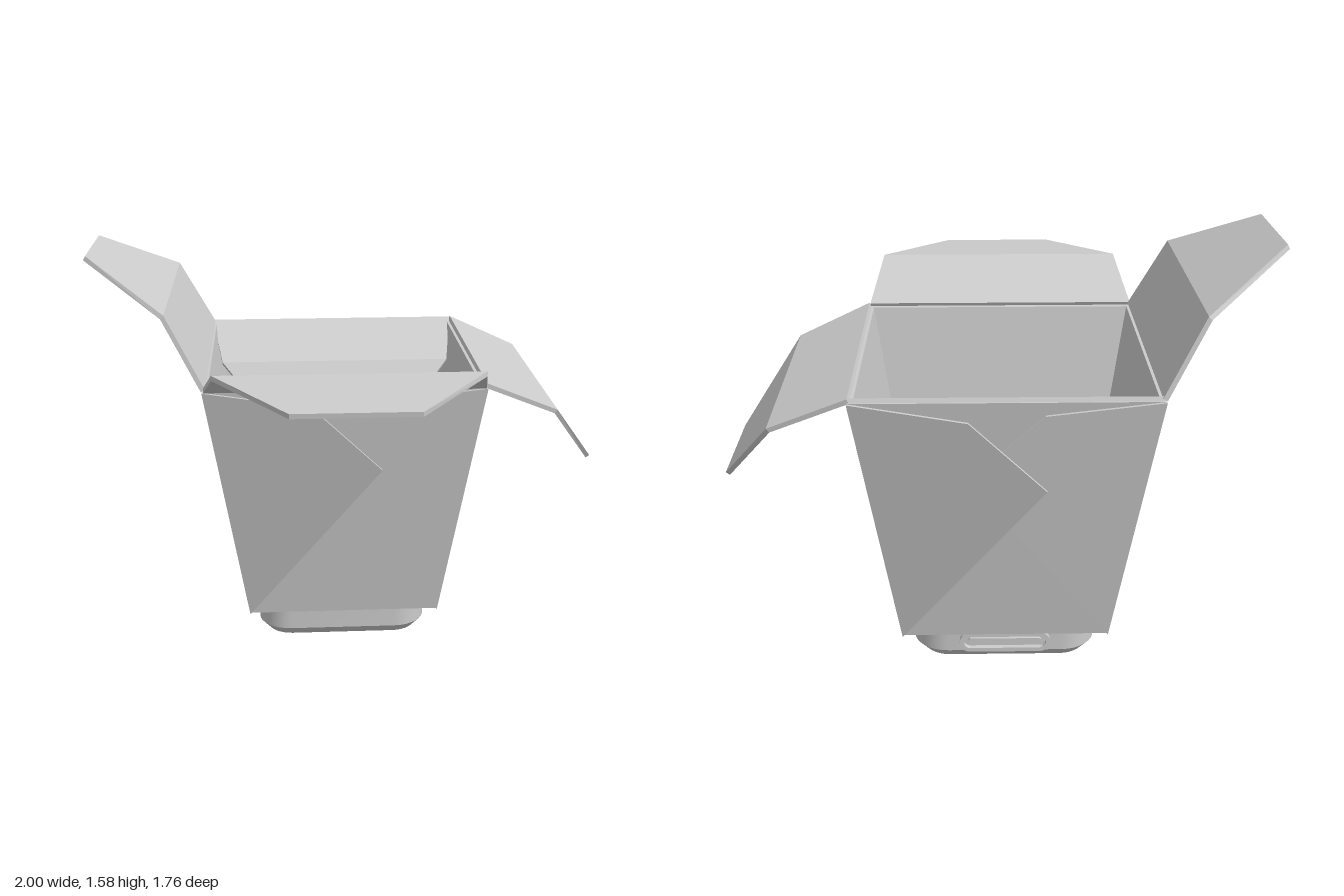
import * as THREE from 'three';
import { toCreasedNormals } from 'three/addons/utils/BufferGeometryUtils.js';

const material = new THREE.MeshStandardMaterial({ color: 0xcccccc });

function addMesh(parent, name, geometry) {
  const mesh = new THREE.Mesh(geometry, material);
  mesh.name = name;
  parent.add(mesh);
  return mesh;
}

// Skin a list of equal-length loops and cap both ends (loops run counter-clockwise seen from the end)
function loft(sections, crease = 0.1) {
  const out = [];
  const tri = (a, b, c) => out.push(...a, ...b, ...c);
  const n = sections[0].length;
  for (let s = 0; s < sections.length - 1; s++) {
    const a = sections[s], b = sections[s + 1];
    for (let i = 0; i < n; i++) {
      const j = (i + 1) % n;
      tri(a[i], a[j], b[j]);
      tri(a[i], b[j], b[i]);
    }
  }
  const first = sections[0], last = sections[sections.length - 1];
  for (let i = 1; i < n - 1; i++) {
    tri(first[0], first[i + 1], first[i]);
    tri(last[0], last[i], last[i + 1]);
  }
  const geometry = new THREE.BufferGeometry();
  geometry.setAttribute('position', new THREE.Float32BufferAttribute(out, 3));
  return toCreasedNormals(geometry, crease);
}

const rectRing = (y, w, d) => [[-w, y, d], [w, y, d], [w, y, -d], [-w, y, -d]];

function roundedRing(y, half, radius) {
  const ring = [];
  for (let corner = 0; corner < 4; corner++) {
    const mid = (corner + 0.5) * Math.PI / 2;
    for (let i = 0; i <= 8; i++) {
      const angle = (corner + i / 8) * Math.PI / 2;
      ring.push([
        Math.sign(Math.cos(mid)) * (half - radius) + Math.cos(angle) * radius,
        y,
        -Math.sign(Math.sin(mid)) * (half - radius) - Math.sin(angle) * radius,
      ]);
    }
  }
  return ring;
}

// Creased lid flap: profile points are [distance outwards, height, half width]
function flapGeometry(profile) {
  const t = 0.009;
  return loft(profile.map(([u, y, w], i) => {
    const a = profile[Math.max(i - 1, 0)], b = profile[Math.min(i + 1, profile.length - 1)];
    const du = b[0] - a[0], dy = b[1] - a[1], len = Math.hypot(du, dy);
    const nu = -dy / len * t, ny = du / len * t;
    return [
      [-w, y - ny, u - nu], [w, y - ny, u - nu],
      [w, y + ny, u + nu], [-w, y + ny, u + nu],
    ];
  }));
}

// Folded pleat hinged on a wall corner, leaning off the wall by the given slope
function pleatGeometry(side, slope) {
  const outline = [[0.535, 1.125], [0.38, 0.145], [-0.135, 0.83], [0.13, 1.08]];
  const loop = outline.map(([x, y]) => {
    const rise = y - 0.145;
    const hinge = 0.38 + 0.158 * rise;
    return [side * x, y, 0.4 + 0.1378 * rise + slope * (hinge - x)];
  });
  if (side > 0) loop.reverse();
  return loft([loop, loop.map(([x, y, z]) => [x, y, z + 0.012])]);
}

function capsule(PathType, halfLength, radius) {
  const path = new PathType();
  path.absarc(halfLength, 0, radius, -Math.PI / 2, Math.PI / 2, false);
  path.absarc(-halfLength, 0, radius, Math.PI / 2, Math.PI * 1.5, false);
  path.closePath();
  return path;
}

export function createModel() {
  const model = new THREE.Group();
  model.name = 'foldingCarton';
  const carton = new THREE.Group();
  carton.name = 'carton';
  carton.position.set(-0.02, 0, -0.27);
  model.add(carton);

  // Tapered, open container with wall thickness
  addMesh(carton, 'container', loft([
    rectRing(0.145, 0.38, 0.4),
    rectRing(1.125, 0.535, 0.535),
    rectRing(1.125, 0.515, 0.51),
    rectRing(0.17, 0.36, 0.36),
  ]));

  // Overlapping pleats on the front and back
  for (const [name, angle] of [['front', 0], ['back', Math.PI]]) {
    const pleats = new THREE.Group();
    pleats.name = name + 'Pleats';
    pleats.rotation.y = angle;
    addMesh(pleats, 'outerPleat', pleatGeometry(-1, 0.165));
    addMesh(pleats, 'innerPleat', pleatGeometry(1, 0.02));
    carton.add(pleats);
  }

  // Four lid flaps, each folded differently
  const flaps = [
    ['frontFlap', 0, [[0.53, 1.13], [0.8, 1.258], [1.15, 1.228]]],
    ['leftFlap', Math.PI / 2, [[0.53, 1.132], [0.81, 1.01], [1.012, 0.727]]],
    ['backFlap', Math.PI, [[0.525, 1.132], [0.26, 1.01], [0.05, 0.727]]],
    ['rightFlap', -Math.PI / 2, [[0.53, 1.13], [0.672, 1.4], [0.977, 1.57]]],
  ];
  const halfWidths = [0.53, 0.485, 0.22];
  for (const [name, angle, profile] of flaps) {
    const points = profile.map(([u, y], i) => [u, y, halfWidths[i]]);
    addMesh(carton, name, flapGeometry(points)).rotation.y = angle;
  }

  // Rounded foot with a chamfered lower edge
  addMesh(carton, 'base', loft([
    roundedRing(0, 0.308, 0.1),
    roundedRing(0.04, 0.343, 0.13),
    roundedRing(0.15, 0.343, 0.13),
  ], 0.5));

  // Raised slot on the back of the foot
  const rim = capsule(THREE.Shape, 0.13, 0.04);
  rim.holes.push(capsule(THREE.Path, 0.13, 0.024));
  const slot = new THREE.Group();
  slot.name = 'slot';
  slot.position.set(0, 0.085, -0.338);
  slot.rotation.y = Math.PI;
  carton.add(slot);
  const extrude = (shape, depth) => toCreasedNormals(
    new THREE.ExtrudeGeometry(shape, { depth, bevelEnabled: false, curveSegments: 10 }), 0.6);
  addMesh(slot, 'slotRim', extrude(rim, 0.024));
  addMesh(slot, 'slotTongue', extrude(capsule(THREE.Shape, 0.125, 0.012), 0.016));

  return model;
}
